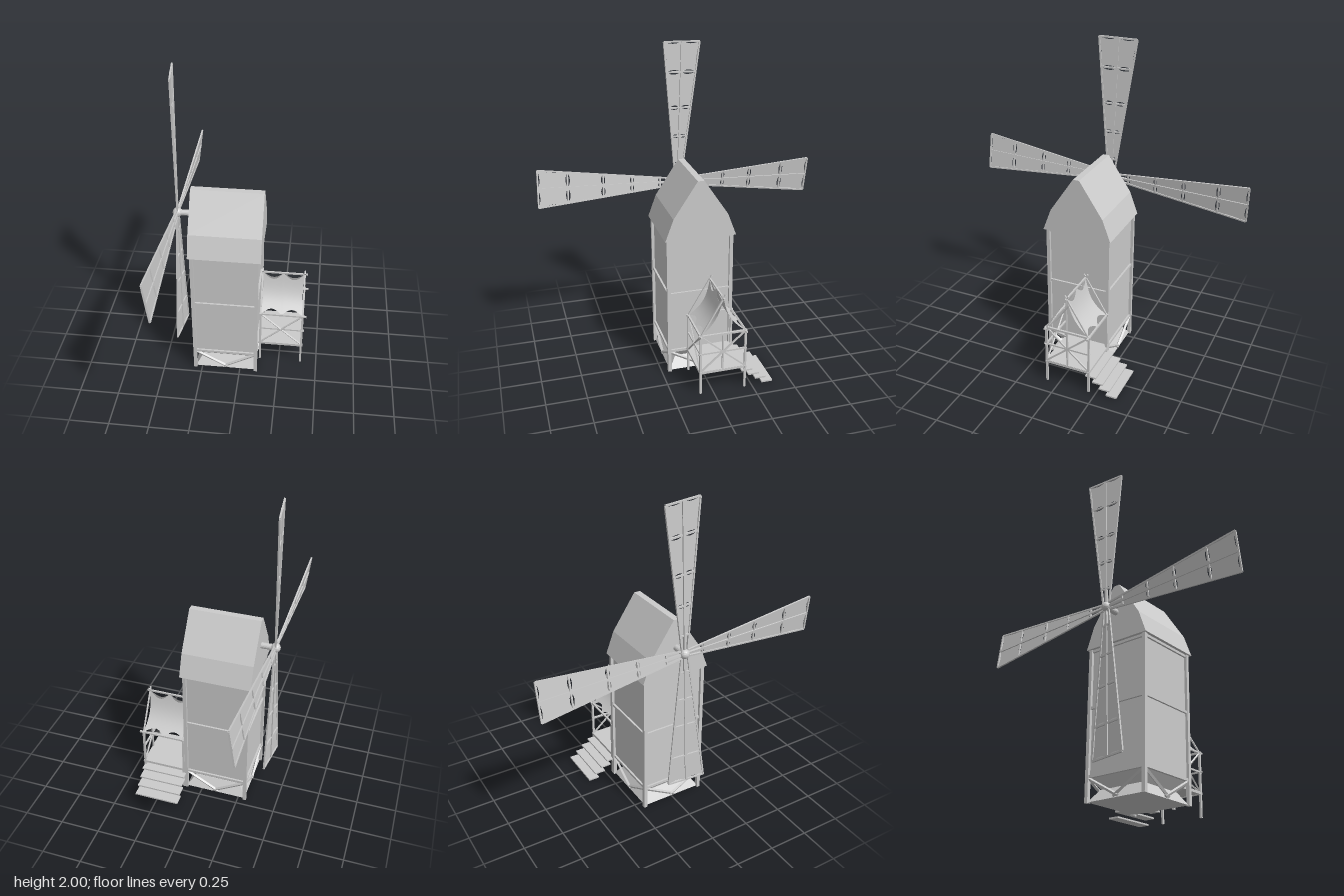
import * as THREE from 'three';

const mat = new THREE.MeshStandardMaterial({ color: 0xcccccc, flatShading: true });
const clothMat = new THREE.MeshStandardMaterial({ color: 0xcccccc, side: THREE.DoubleSide });
const Z_AXIS = new THREE.Vector3(0, 0, 1);

function add(parent, name, geo, material = mat) {
  const mesh = new THREE.Mesh(geo, material);
  mesh.name = name;
  parent.add(mesh);
  return mesh;
}

function box(parent, name, x0, x1, y0, y1, z0, z1) {
  const m = add(parent, name, new THREE.BoxGeometry(x1 - x0, y1 - y0, z1 - z0));
  m.position.set((x0 + x1) / 2, (y0 + y1) / 2, (z0 + z1) / 2);
  return m;
}

// square timber between two points
function bar(parent, name, a, b, t = 0.012) {
  const p = new THREE.Vector3(...a), q = new THREE.Vector3(...b);
  const m = add(parent, name, new THREE.BoxGeometry(t, t, p.distanceTo(q)));
  m.position.copy(p).lerp(q, 0.5);
  m.quaternion.setFromUnitVectors(Z_AXIS, q.sub(p).normalize());
  return m;
}

// square frustum with half widths r0 (bottom) and r1 (top)
function frustum(parent, name, r0, r1, y0, y1) {
  const geo = new THREE.CylinderGeometry(r1 * Math.SQRT2, r0 * Math.SQRT2, y1 - y0, 4);
  geo.rotateY(Math.PI / 4);
  add(parent, name, geo).position.y = (y0 + y1) / 2;
}

function createTower() {
  const tower = new THREE.Group();
  tower.name = 'tower';
  tower.position.x = -0.095;
  box(tower, 'walls', -0.193, 0.193, 0.14, 0.92, -0.193, 0.193);
  frustum(tower, 'taperedUnderside', 0.145, 0.19, 0.075, 0.14);
  frustum(tower, 'base', 0.198, 0.15, 0.005, 0.075);
  const c = 0.199;
  for (let i = 0; i < 4; i++) {
    const side = new THREE.Group();
    side.name = 'towerSide';
    side.rotation.y = i * Math.PI / 2;
    tower.add(side);
    box(side, 'cornerPost', c - 0.011, c + 0.011, 0, 0.915, c - 0.011, c + 0.011);
    for (const y of [0.145, 0.545, 0.9]) bar(side, 'wallBeam', [-c, y, c - 0.002], [c, y, c - 0.002], 0.016);
    for (const s of [-1, 1]) bar(side, 'footBrace', [s * 0.193, 0.135, c - 0.002], [s * -0.015, 0.015, c - 0.002], 0.014);
  }
  return tower;
}

function createRoof() {
  const half = [[0.222, 0.91], [0.17, 1.05], [0.02, 1.275]];
  const pts = [...half, ...half.map(([z, y]) => [-z, y]).reverse()];
  const shape = new THREE.Shape(pts.map(([z, y]) => new THREE.Vector2(z, y)));
  const geo = new THREE.ExtrudeGeometry(shape, { depth: 0.445, bevelEnabled: false });
  geo.rotateY(-Math.PI / 2);
  geo.translate(0.13, 0, 0);
  const roof = new THREE.Mesh(geo, mat);
  roof.name = 'roof';
  return roof;
}

// cloth stretched between four corners, its edges drawn inward
function clothPanel(corners) {
  const pts = corners.map(p => new THREE.Vector2(...p));
  const mid = pts.reduce((s, p) => s.add(p), new THREE.Vector2()).multiplyScalar(0.25);
  const shape = new THREE.Shape();
  shape.moveTo(pts[0].x, pts[0].y);
  for (let i = 0; i < 4; i++) {
    const next = pts[(i + 1) % 4];
    const ctrl = pts[i].clone().lerp(next, 0.5).lerp(mid, 0.27);
    shape.quadraticCurveTo(ctrl.x, ctrl.y, next.x, next.y);
  }
  const geo = new THREE.ShapeGeometry(shape, 6);
  return geo.rotateY(-Math.PI / 2);
}

// one sail: y runs outward, z across
function createSail() {
  const sail = new THREE.Group();
  sail.name = 'sail';
  const rows = [0.12, 0.305, 0.49, 0.715, 0.9];
  const w = r => 0.018 + 0.112 * r;
  bar(sail, 'spar', [0, 0, 0], [0, 0.9, 0], 0.014);
  for (const s of [-1, 1]) bar(sail, 'sailEdge', [0, 0.02, s * w(0.02)], [0, 0.9, s * w(0.9)], 0.01);
  rows.forEach((r, i) => {
    bar(sail, 'sailBar', [0, r, -w(r)], [0, r, w(r)], 0.01);
    if (!i) return;
    const q = rows[i - 1];
    for (const s of [-1, 1])
      add(sail, 'sailCloth', clothPanel([[0, q], [s * w(q), q], [s * w(r), r], [0, r]]), clothMat);
  });
  return sail;
}

function createSails() {
  const wheel = new THREE.Group();
  wheel.name = 'sailWheel';
  wheel.position.set(-0.402, 1.095, 0);
  for (let i = 0; i < 4; i++) {
    const arm = new THREE.Group();
    arm.name = 'sailArm';
    arm.rotation.x = -0.037 + i * Math.PI / 2;
    const sail = createSail();
    sail.rotation.y = 0.13; // sail pitch
    arm.add(sail);
    wheel.add(arm);
  }
  const shaft = add(wheel, 'shaft', new THREE.CylinderGeometry(0.019, 0.019, 0.13, 16).rotateZ(Math.PI / 2));
  shaft.position.x = 0.055;
  add(wheel, 'hub', new THREE.SphereGeometry(0.03, 16, 10));
  return wheel;
}

// half of the awning: hangs from the ridge to one eave, scalloped and sagging
function awningHalf(x0, x1, zRidge, zEave, yRidge, yEave) {
  const geo = new THREE.PlaneGeometry(1, 1, 24, 10);
  const p = geo.attributes.position;
  for (let i = 0; i < p.count; i++) {
    const u = p.getX(i) + 0.5, v = 0.5 - p.getY(i);
    const scallop = Math.abs(Math.sin(2 * Math.PI * u));
    const t = THREE.MathUtils.lerp(0.15 * scallop, 1 - 0.14 * scallop, v);
    const sag = Math.sin(Math.PI * t);
    const x = THREE.MathUtils.lerp(x0, x1, 0.5 + (u - 0.5) * (1 - 0.06 * sag));
    const z = THREE.MathUtils.lerp(zRidge, zEave, t - 0.17 * sag);
    p.setXYZ(i, x, THREE.MathUtils.lerp(yRidge, yEave, t) - 0.022 * sag, z);
  }
  geo.computeVertexNormals();
  return geo;
}

function createPorch() {
  const porch = new THREE.Group();
  porch.name = 'porch';
  const x0 = 0.123, x1 = 0.394, zb = -0.203, zf = 0.08, zm = -0.06;
  const yFloor = 0.15, yMid = 0.275, yEave = 0.395, yRidge = 0.632;
  box(porch, 'floor', 0.11, 0.4, yFloor - 0.008, yFloor + 0.005, -0.21, 0.087);
  for (const x of [x0, x1]) {
    for (const z of [zb, zf]) {
      bar(porch, 'post', [x, 0, z], [x, yEave, z], 0.013);
      // gable poles cross just above the ridge
      const k = 1.09;
      bar(porch, 'gablePole', [x, yEave, z], [x, yEave + (yRidge - yEave) * k, z + (zm - z) * k], 0.009);
    }
    bar(porch, 'endBeam', [x, yEave, zb - 0.01], [x, yEave, zf + 0.01]);
  }
  for (const z of [zb, zf]) {
    bar(porch, 'eaveBeam', [0.115, yEave, z], [0.42, yEave, z], 0.011);
    bar(porch, 'floorBeam', [0.115, yFloor - 0.005, z], [0.405, yFloor - 0.005, z], 0.014);
    add(porch, 'awning', awningHalf(x0, x1, zm, z, yRidge, yEave), clothMat);
  }
  bar(porch, 'ridgePole', [0.115, yRidge, zm], [0.412, yRidge, zm], 0.01);
  bar(porch, 'floorBeam', [x1, yFloor - 0.005, zb], [x1, yFloor - 0.005, zf], 0.014);

  // railings on the front and the outer end
  bar(porch, 'frontRail', [x0, yMid, zf], [0.41, yMid, zf], 0.01);
  bar(porch, 'frontBrace', [x0, yFloor, zf], [x1, yEave, zf], 0.009);
  bar(porch, 'frontBrace', [x0, yEave, zf], [x1, yFloor, zf], 0.009);
  bar(porch, 'endRail', [x1, yMid, zb - 0.008], [x1, yMid, zf + 0.015], 0.01);
  bar(porch, 'endBrace', [x1, yFloor, zb], [x1, yEave, zf], 0.009);
  bar(porch, 'endBrace', [x1, yEave, zb], [x1, yFloor, zf], 0.009);
  bar(porch, 'endMiddlePost', [x1, yFloor, zm], [x1, yEave, zm], 0.01);

  // steps down to the back
  for (let i = 0; i < 4; i++) {
    const y = 0.115 - i * 0.035, z = -0.252 - i * 0.045;
    box(porch, 'step', 0.107, 0.398, y - 0.005, y + 0.005, z, z + 0.07);
  }
  return porch;
}

export function createModel() {
  const model = new THREE.Group();
  model.name = 'windmill';
  model.add(createTower(), createRoof(), createSails(), createPorch());
  return model;
}
